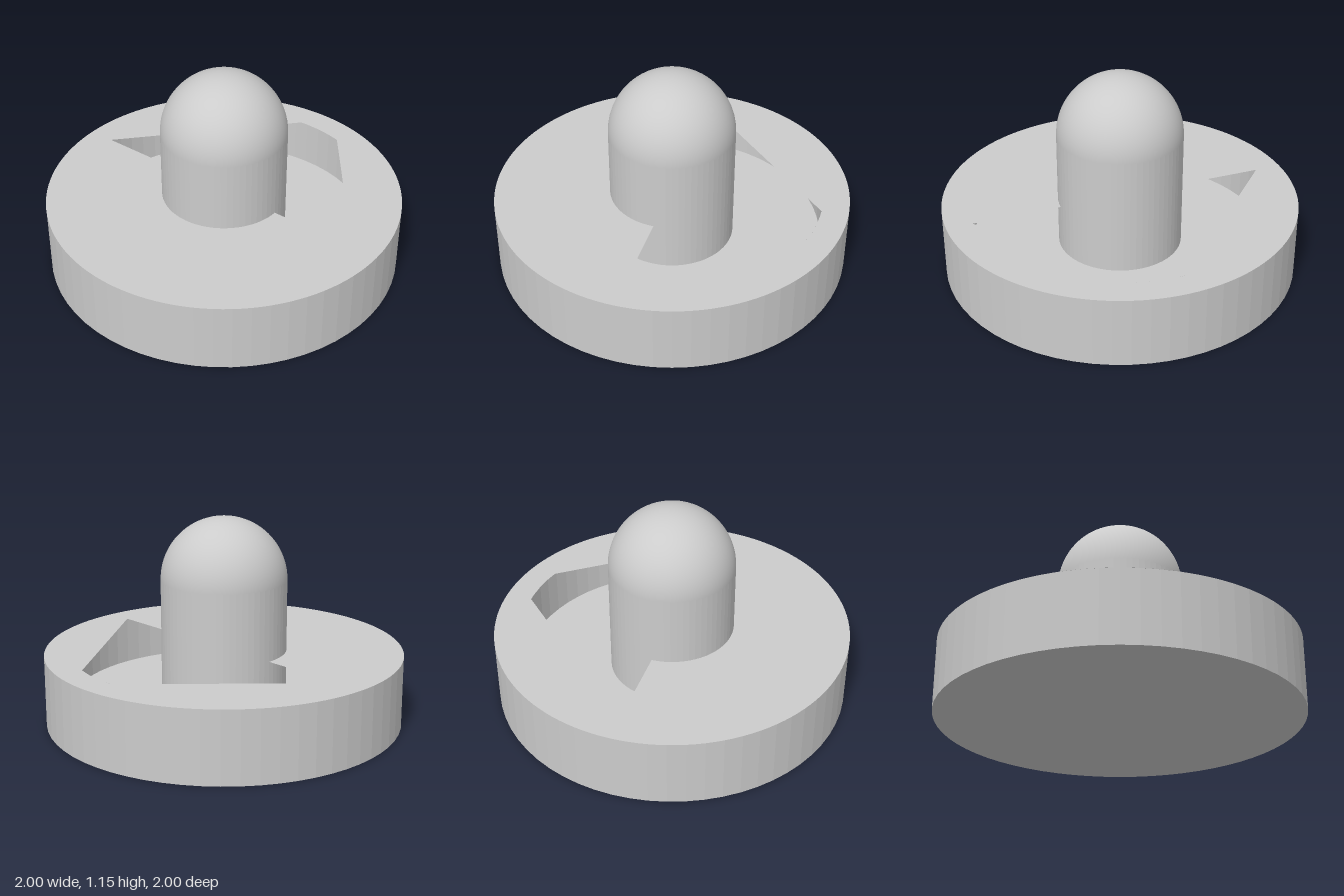
import * as THREE from 'three';

const SEGMENTS = 64;
const TOP = 0.4;      // height of the disc
const FLOOR = 0.13;   // height of the floor inside the disc
const INNER = 0.85;   // radius of the hollow
const POST = 0.35;    // radius of the post

export function createModel() {
  const group = new THREE.Group();
  const flat = new THREE.MeshStandardMaterial({ color: 0xcccccc, flatShading: true, side: THREE.DoubleSide });
  const smooth = new THREE.MeshStandardMaterial({ color: 0xcccccc });

  const add = (name, geometry, material) => {
    const mesh = new THREE.Mesh(geometry, material);
    mesh.name = name;
    group.add(mesh);
    return mesh;
  };
  const lathe = (points) =>
    new THREE.LatheGeometry(points.map(([r, y]) => new THREE.Vector2(r, y)), SEGMENTS);

  // Outside of the disc, and the hollow within it
  add('discShell', lathe([[0, 0], [1, 0], [1, TOP]]), flat);
  add('discHollow', lathe([[INNER, TOP], [INNER, FLOOR], [0, FLOOR]]), flat);

  // Thin cover with an opening: a straight chord, two slanted sides and a short arc
  const cover = new THREE.Shape();
  cover.absarc(0, 0, 1, 0, Math.PI * 2);
  const angles = [0, 74, 79, 84, 90, 93, 180];
  cover.holes.push(new THREE.Path(angles.map((degrees) => {
    const a = THREE.MathUtils.degToRad(degrees);
    return new THREE.Vector2(INNER * Math.cos(a), INNER * Math.sin(a));
  })));
  const coverGeometry = new THREE.ShapeGeometry(cover, SEGMENTS);
  coverGeometry.rotateX(-Math.PI / 2);
  add('cover', coverGeometry, flat).position.y = TOP;

  // Post rising from the floor, closed by a dome
  const postHeight = 0.8 - FLOOR;
  add('post', new THREE.CylinderGeometry(POST, POST, postHeight, SEGMENTS, 1, true), flat)
    .position.y = FLOOR + postHeight / 2;
  add('dome', new THREE.SphereGeometry(POST, SEGMENTS, 24, 0, Math.PI * 2, 0, Math.PI / 2), smooth)
    .position.y = 0.8;

  return group;
}
